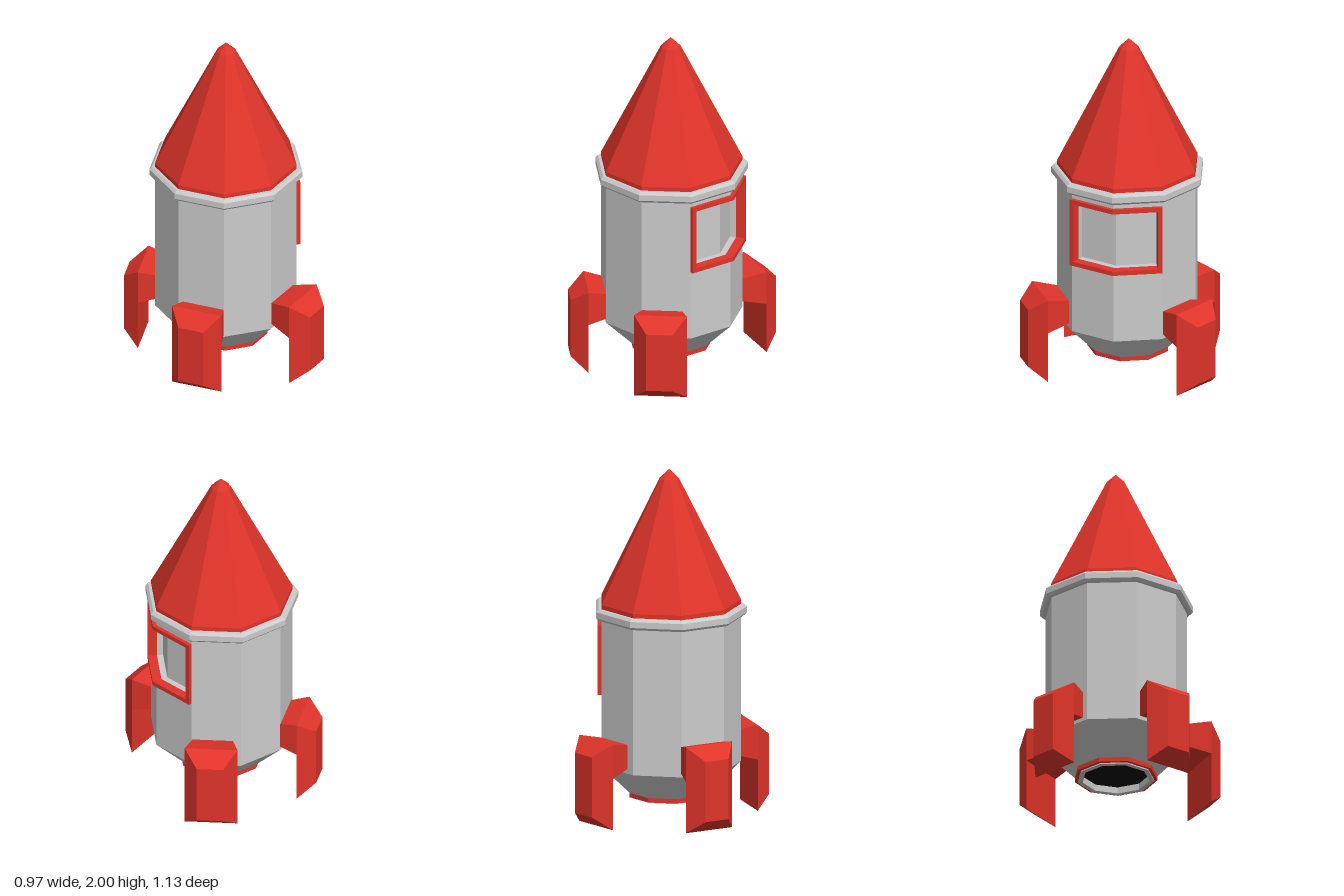
import * as THREE from 'three';

const RED = 0xe0342a, GREY = 0xcccccc, DARK = 0x0a0a0a;
const CX = 0.027, CZ = 0.045, R = 0.407, SIDES = 9, STEP = (2 * Math.PI) / SIDES;
const WIN_LOW = 0.715, WIN_HIGH = 1.12, BAR = 0.026;

function mesh(name, geometry, color = GREY) {
  const m = new THREE.Mesh(geometry, new THREE.MeshStandardMaterial({ color, flatShading: true }));
  m.name = name;
  return m;
}

// Nine-sided revolved part; start and count pick a run of sides
function ring(name, profile, color, start = Math.PI, count = SIDES) {
  const pts = profile.map(([r, y]) => new THREE.Vector2(r, y));
  const m = mesh(name, new THREE.LatheGeometry(pts, count, start, count * STEP), color);
  m.position.set(CX, 0, CZ);
  return m;
}

// Box whose back (z0) and front (z1) rectangles differ in width and height
function taperedBox(back, front) {
  const geo = new THREE.BoxGeometry(1, 1, 1), p = geo.attributes.position;
  for (let i = 0; i < p.count; i++) {
    const e = p.getZ(i) > 0 ? front : back;
    p.setXYZ(i, p.getX(i) * e.w, p.getY(i) > 0 ? e.high : e.low, e.z);
  }
  return geo;
}

// Plan-view outline extruded upwards from y0 to y1; points are Vector2(x, z)
function slab(name, points, y0, y1, color) {
  const shape = new THREE.Shape(points.map(p => new THREE.Vector2(p.x, -p.y)));
  const geo = new THREE.ExtrudeGeometry(shape, { depth: y1 - y0, bevelEnabled: false });
  geo.rotateX(-Math.PI / 2);
  geo.translate(0, y0, 0);
  return mesh(name, geo, color);
}

// Hull corner and face normal, with the angle measured from the back towards +x
const dir = deg => {
  const a = THREE.MathUtils.degToRad(deg);
  return new THREE.Vector2(Math.sin(a), -Math.cos(a));
};
const corner = deg => dir(deg).multiplyScalar(R).add(new THREE.Vector2(CX, CZ));
const A = corner(120), B = corner(80), C = corner(40);
const nA = dir(100), nB = dir(80), nC = dir(60);
const shift = (p, n, d) => p.clone().addScaledVector(n, d);

// Strip that bends around the two window faces, between two offsets from the hull
function bentStrip(out, inn) {
  const k = 1 / Math.cos(STEP / 2);
  return [shift(A, nA, out), shift(B, nB, out * k), shift(C, nC, out),
    shift(C, nC, inn), shift(B, nB, inn * k), shift(A, nA, inn)];
}

function windowSurround(name, out, inn, color) {
  const g = new THREE.Group();
  g.name = name;
  g.add(slab('sill', bentStrip(out, inn), WIN_LOW, WIN_LOW + BAR, color));
  g.add(slab('lintel', bentStrip(out, inn), WIN_HIGH - BAR, WIN_HIGH, color));
  for (const [end, n] of [[A, nA], [C, nC]]) {
    const along = B.clone().sub(end).normalize();
    const inner = shift(end, along, BAR);
    const pts = [shift(end, n, out), shift(inner, n, out), shift(inner, n, inn), shift(end, n, inn)];
    g.add(slab('jamb', pts, WIN_LOW + BAR, WIN_HIGH - BAR, color));
  }
  return g;
}

function makeFin(deg, dr, dt) {
  const fin = new THREE.Group();
  fin.name = 'fin';
  // Bevelled upright plate
  const plate = mesh('finPlate', taperedBox(
    { z: 0.52, w: 0.3, low: 0, high: 0.5 },
    { z: 0.615, w: 0.15, low: 0.075, high: 0.425 }), RED);
  // Short arm into the hull
  const arm = mesh('finArm', taperedBox(
    { z: 0.385, w: 0.23, low: 0.33, high: 0.47 },
    { z: 0.52, w: 0.3, low: 0.3, high: 0.5 }), RED);
  for (const part of [plate, arm]) {
    part.position.set(-dt, 0, dr);
    fin.add(part);
  }
  fin.position.set(CX, 0, CZ);
  fin.rotation.y = Math.PI - THREE.MathUtils.degToRad(deg);
  return fin;
}

export function createModel() {
  const model = new THREE.Group();
  model.name = 'rocket';

  // Nose and collar
  model.add(ring('noseCone', [[R, 1.18], [R, 1.24], [0.056, 1.945], [0, 2]], RED));
  model.add(ring('collar', [[0.4, 1.15], [0.425, 1.15], [0.44, 1.165], [0.44, 1.2],
    [0.425, 1.215], [0.4, 1.215]], GREY));

  // Hull walls, leaving two faces open for the window
  model.add(ring('hullLower', [[R, 0.3], [R, WIN_LOW + 0.01]], GREY));
  model.add(ring('hullMiddle', [[R, WIN_LOW + 0.01], [R, WIN_HIGH - 0.01]], GREY,
    THREE.MathUtils.degToRad(140), SIDES - 2));
  model.add(ring('hullUpper', [[R, WIN_HIGH - 0.01], [R, 1.17]], GREY));
  model.add(ring('hullTaper', [[0.235, 0.13], [R, 0.3]], GREY));

  // Exhaust
  model.add(ring('exhaustBand', [[0.2, 0.107], [0.238, 0.107], [0.238, 0.14]], RED));
  model.add(ring('exhaustLip', [[0.192, 0.14], [0.192, 0.1], [0.22, 0.1], [0.22, 0.115]], GREY));
  model.add(ring('exhaustOpening', [[0, 0.138], [0.2, 0.138]], DARK));

  // Window with a red frame, grey reveal and recessed pane
  model.add(windowSurround('windowFrame', 0.022, -0.03, RED));
  model.add(windowSurround('windowReveal', -0.03, -0.08, GREY));
  model.add(slab('windowPane', bentStrip(-0.065, -0.08), WIN_LOW + 0.005, WIN_HIGH - 0.005, GREY));

  // Fins: bearing, radial shift, sideways shift
  for (const f of [[20, 0, 0.02], [140, 0, 0.02], [220, -0.037, -0.012], [300, -0.037, 0.018]]) {
    model.add(makeFin(...f));
  }
  return model;
}
